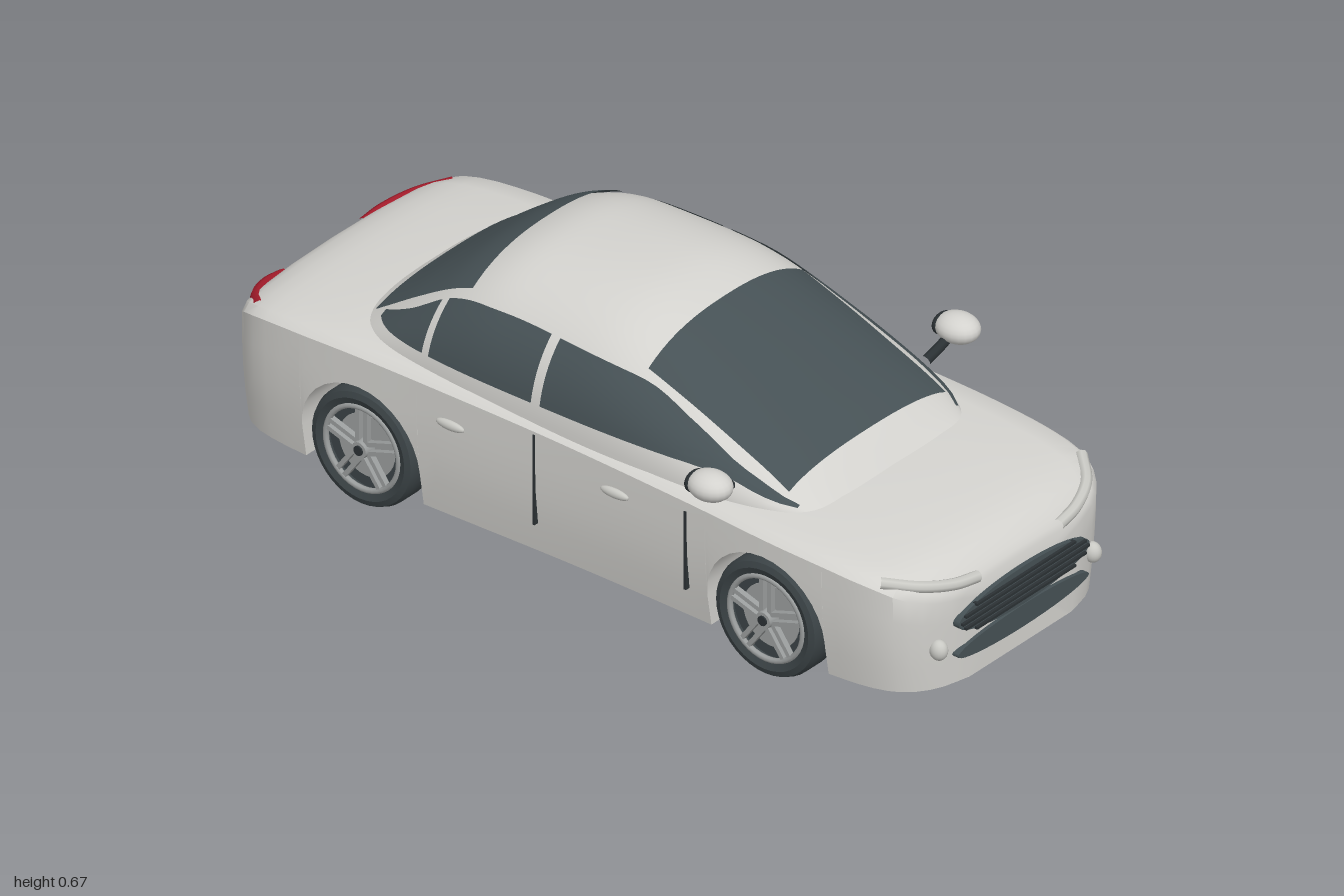
import * as THREE from 'three';
import { toCreasedNormals } from 'three/addons/utils/BufferGeometryUtils.js';

const mat = (name, color, side = THREE.FrontSide) => {
  const m = new THREE.MeshStandardMaterial({ color, side });
  m.name = name;
  return m;
};

// Smooth curve through [x, y] pairs, evaluated by x
const curve = (pts) => (x) => {
  const n = pts.length - 1;
  x = Math.min(Math.max(x, pts[0][0]), pts[n][0]);
  let i = 0;
  while (i < n - 1 && x > pts[i + 1][0]) i++;
  const slope = (k) => {
    const a = pts[Math.max(k - 1, 0)], b = pts[Math.min(k + 1, n)];
    return (b[1] - a[1]) / (b[0] - a[0]);
  };
  const [x0, y0] = pts[i], [x1, y1] = pts[i + 1], d = x1 - x0, t = (x - x0) / d;
  const s = t * t * (3 - 2 * t);
  return y0 + (y1 - y0) * s + d * (slope(i) * t * (1 - t) ** 2 - slope(i + 1) * t * t * (1 - t));
};

// Body outlines along the length: half width, shoulder height, centreline height
const bodyW = curve([[-0.98, 0.25], [-0.96, 0.31], [-0.92, 0.355], [-0.85, 0.38], [-0.7, 0.392], [-0.4, 0.389],
  [0, 0.382], [0.35, 0.386], [0.6, 0.391], [0.8, 0.381], [0.88, 0.362], [0.93, 0.328], [0.965, 0.27], [0.982, 0.2]]);
const shoulder = curve([[-0.98, 0.305], [-0.9, 0.36], [-0.7, 0.383], [-0.4, 0.385], [0.1, 0.372], [0.6, 0.352],
  [0.85, 0.33], [0.95, 0.292], [0.982, 0.27]]);
const deck = curve([[-0.98, 0.33], [-0.95, 0.37], [-0.88, 0.4], [-0.75, 0.415], [-0.6, 0.422], [0, 0.41],
  [0.55, 0.387], [0.8, 0.37], [0.92, 0.347], [0.97, 0.31], [0.982, 0.29]]);

// Cabin outlines: roof line and half width
const roof = curve([[-0.7, 0.4], [-0.62, 0.455], [-0.5, 0.55], [-0.4, 0.62], [-0.3, 0.66], [-0.2, 0.669], [0, 0.667],
  [0.1, 0.648], [0.25, 0.588], [0.4, 0.518], [0.5, 0.47], [0.55, 0.44], [0.64, 0.37]]);
const cabinW = curve([[-0.7, 0.27], [-0.6, 0.33], [-0.4, 0.36], [-0.1, 0.37], [0.2, 0.367], [0.4, 0.35],
  [0.55, 0.31], [0.64, 0.25]]);
const BASE = 0.36, N = 2.4;
const cabinZ = (x, y) => cabinW(x) * Math.max(0, 1 - ((y - BASE) / (roof(x) - BASE)) ** N) ** (1 / N);
const cabinY = (x, z) => BASE + (roof(x) - BASE) * Math.max(0, 1 - Math.abs(z / cabinW(x)) ** N) ** (1 / N);

const steps = (a, b, n) => Array.from({ length: n + 1 }, (_, i) => a + (b - a) * i / n);

// Surface through rows of points, optionally closed at both ends
function loft(rows, caps = false) {
  const pos = rows.flat(2), idx = [], w = rows[0].length;
  for (let i = 0; i < rows.length - 1; i++) for (let j = 0; j < w - 1; j++) {
    const a = i * w + j, b = a + w;
    idx.push(a, b, b + 1, a, b + 1, a + 1);
  }
  if (caps) [0, rows.length - 1].forEach((r) => {
    const c = pos.length / 3, o = r * w;
    pos.push(rows[r][0][0], 0.2, 0);
    for (let j = 0; j < w - 1; j++) idx.push(c, ...(r ? [o + j + 1, o + j] : [o + j, o + j + 1]));
  });
  const g = new THREE.BufferGeometry();
  g.setAttribute('position', new THREE.Float32BufferAttribute(pos, 3));
  g.setIndex(idx);
  return toCreasedNormals(g, 0.6);
}

const WHEEL_X = 0.57, WHEEL_Y = 0.145, ARCH = 0.165, SILL = 0.06;

// Cross-section of the lower body whose outer edge starts at height yb
function bodySection(x, yb) {
  const w = bodyW(x), yS = shoulder(x), yT = deck(x), zi = Math.min(0.26, w * 0.8);
  const side = (f) => {
    const y = yb + (yS - yb) * f;
    return [x, y, w - 0.024 * (Math.max(0, 0.3 - y) / 0.24) ** 2];
  };
  const top = [[0.95, 0.45], [0.8, 0.7], [0.45, 0.93], [0, 1]].map(([k, f]) => [x, yS + (yT - yS) * f, w * k]);
  const half = [[x, SILL, 0], [x, SILL, zi], [x, yb, zi], side(0), side(0.25), side(0.5), side(0.75), side(1), ...top];
  return [...half, ...half.slice(0, -1).reverse().map(([a, y, z]) => [a, y, -z])];
}

export function createModel() {
  const car = new THREE.Group();
  car.name = 'car';
  const paint = mat('body paint', 0xd3d2ce, THREE.DoubleSide), glass = mat('dark glass', 0x465155, THREE.DoubleSide);
  const rubber = mat('tyre rubber', 0x3b4346), dark = mat('dark trim', 0x2b3134);
  const metal = mat('wheel metal', 0x9b9e9e), red = mat('red lamp', 0xa51c2b), lamp = mat('pale lamp', 0xc9c9c4);
  const add = (name, geo, m, x = 0, y = 0, z = 0, parent = car) => {
    const mesh = new THREE.Mesh(geo, m);
    mesh.name = name;
    mesh.position.set(x, y, z);
    parent.add(mesh);
    return mesh;
  };
  const ball = (name, m, p, r) => add(name, new THREE.SphereGeometry(1, 20, 12), m, ...p).scale.set(...r);
  const tube = (name, m, pts, r) => add(name, new THREE.TubeGeometry(
    new THREE.CatmullRomCurve3(pts.map((p) => new THREE.Vector3(...p))), 20, r, 8), m);

  // Lower body with wheel arches cut into its lower edge
  const rows = [];
  const plain = (xs) => xs.forEach((x) => rows.push(bodySection(x, SILL)));
  const arch = (c) => {
    rows.push(bodySection(c - ARCH, SILL));
    steps(Math.PI, 0, 16).forEach((a) => rows.push(bodySection(c + ARCH * Math.cos(a), WHEEL_Y + ARCH * Math.sin(a))));
    rows.push(bodySection(c + ARCH, SILL));
  };
  plain([-0.98, -0.97, -0.96, -0.94, -0.92, -0.88, -0.84, -0.79]);
  arch(-WHEEL_X);
  plain(steps(-0.36, 0.36, 12));
  arch(WHEEL_X);
  plain([0.77, 0.81, 0.85, 0.88, 0.905, 0.93, 0.95, 0.965, 0.975, 0.982]);
  add('body', loft(rows, true), paint);
  add('floorPan', new THREE.BoxGeometry(1.54, 0.017, 0.51), dark, 0, 0.0535, 0);

  // Cabin shell
  add('cabin', loft(steps(-0.7, 0.64, 48).map((x) => steps(0, Math.PI, 36).map((a) => {
    const c = Math.cos(a), z = Math.sign(c) * Math.abs(c) ** (2 / N) * cabinW(x);
    return [x, BASE + (roof(x) - BASE) * Math.max(0, Math.sin(a)) ** (2 / N), z];
  }))), paint);

  // Front and rear screens, laid just above the cabin shell
  const screen = (name, x0, x1, z0, z1) => add(name, loft(steps(x0, x1, 16).map((x, i) => {
    const h = z0 + (z1 - z0) * i / 16;
    return steps(h, -h, 24).map((z) => [x, cabinY(x, z) + 0.006, z]);
  })), glass);
  screen('windscreen', 0.15, 0.55, 0.268, 0.272);
  screen('rearScreen', -0.625, -0.35, 0.262, 0.262);

  // Side windows, split by pillars
  const winTop = curve([[-0.6, 0.438], [-0.5, 0.49], [-0.4, 0.55], [-0.3, 0.576], [-0.1, 0.58], [0.15, 0.558],
    [0.3, 0.505], [0.42, 0.454], [0.5, 0.424], [0.58, 0.39]]);
  const winBase = curve([[-0.6, 0.435], [-0.3, 0.437], [0.3, 0.437], [0.42, 0.427], [0.5, 0.406], [0.58, 0.386]]);
  for (const s of [1, -1]) {
    [[-0.59, -0.42], [-0.4, -0.1], [-0.075, 0.58]].forEach(([a, b], k) => {
      add(['quarterWindow', 'rearWindow', 'frontWindow'][k], loft(steps(a, b, 20).map((x) => {
        const col = steps(winBase(x), winTop(x), 8).map((y) => [x, y, s * (cabinZ(x, y) + 0.005)]);
        return s > 0 ? col : col.reverse();
      })), glass);
    });

    // Door seams and handles
    [[-0.08, 0.255, 0.23], [0.35, 0.24, 0.2]].forEach(([x, y, h]) =>
      add('doorSeam', new THREE.BoxGeometry(0.006, h, 0.012), dark, x, y, s * (bodyW(x) - 0.004)));
    for (const x of [-0.31, 0.15]) ball('doorHandle', lamp, [x, 0.31, s * (bodyW(x) + 0.003)], [0.04, 0.012, 0.01]);

    // Door mirror on its arm
    ball('mirror', paint, [0.456, 0.468, s * 0.43], [0.055, 0.034, 0.046]);
    ball('mirrorGlass', dark, [0.416, 0.465, s * 0.43], [0.02, 0.026, 0.034]);
    tube('mirrorArm', dark, [[0.44, 0.42, s * 0.34], [0.445, 0.435, s * 0.375], [0.45, 0.455, s * 0.41]], 0.012);

    // Lamps
    tube('headlight', lamp, [[0.975, 0.297, s * 0.14], [0.966, 0.306, s * 0.21], [0.935, 0.322, s * 0.285],
      [0.87, 0.338, s * 0.35]], 0.014);
    tube('tailLight', red, [[-0.89, 0.365, s * 0.337], [-0.945, 0.347, s * 0.275], [-0.976, 0.33, s * 0.2],
      [-0.983, 0.318, s * 0.14]], 0.017);
    ball('fogLight', lamp, [0.968, 0.165, s * 0.267], [0.022, 0.025, 0.02]);
  }
  add('tailStrip', new THREE.BoxGeometry(0.016, 0.012, 0.3), dark, -0.98, 0.318, 0);

  // Grille and lower intake
  const opening = (name, y, ry, rx) => {
    const g = new THREE.CylinderGeometry(1, 1, 1, 40).rotateZ(Math.PI / 2);
    add(name, g, glass, 0.972, y, 0).scale.set(rx, ry, 0.227);
  };
  opening('grille', 0.217, 0.048, 0.042);
  opening('lowerIntake', 0.137, 0.028, 0.038);
  for (const d of [-0.03, -0.015, 0, 0.015, 0.03]) {
    add('grilleSlat', new THREE.BoxGeometry(0.012, 0.006, 0.44 * Math.sqrt(1 - (d / 0.048) ** 2)), dark, 0.994, 0.217 + d, 0);
  }

  // Wheels
  const tyre = [[0.108, -0.04], [0.125, -0.047], [0.139, -0.042], [0.145, -0.028], [0.145, 0.028], [0.139, 0.042],
    [0.125, 0.047], [0.108, 0.04], [0.104, 0], [0.108, -0.04]].map(([r, y]) => new THREE.Vector2(r, y));
  const tyreGeo = toCreasedNormals(new THREE.LatheGeometry(tyre, 40).rotateX(Math.PI / 2), 0.6);
  for (const x of [-WHEEL_X, WHEEL_X]) for (const s of [1, -1]) {
    const wheel = new THREE.Group();
    wheel.name = 'wheel';
    wheel.position.set(x, WHEEL_Y, s * 0.337);
    if (s < 0) wheel.rotation.y = Math.PI;
    car.add(wheel);
    add('tyre', tyreGeo, rubber, 0, 0, 0, wheel);
    add('wheelDisc', new THREE.CylinderGeometry(0.107, 0.107, 0.05, 40).rotateX(Math.PI / 2), rubber, 0, 0, -0.005, wheel);
    add('rimRing', new THREE.TorusGeometry(0.103, 0.007, 8, 40), metal, 0, 0, 0.038, wheel);
    add('brakeDisc', new THREE.CylinderGeometry(0.078, 0.078, 0.01, 32).rotateX(Math.PI / 2), metal, 0, 0, 0.018, wheel);
    for (let k = 0; k < 5; k++) for (const d of [-0.011, 0.011]) {
      const spoke = new THREE.BoxGeometry(0.011, 0.09, 0.014).translate(d, 0.058, 0.036).rotateZ(k * Math.PI * 0.4);
      add('spoke', spoke, metal, 0, 0, 0, wheel);
    }
    add('hub', new THREE.CylinderGeometry(0.02, 0.024, 0.03, 20).rotateX(Math.PI / 2), metal, 0, 0, 0.036, wheel);
    add('hubCap', new THREE.CylinderGeometry(0.012, 0.012, 0.012, 16).rotateX(Math.PI / 2), dark, 0, 0, 0.049, wheel);
  }
  return car;
}
